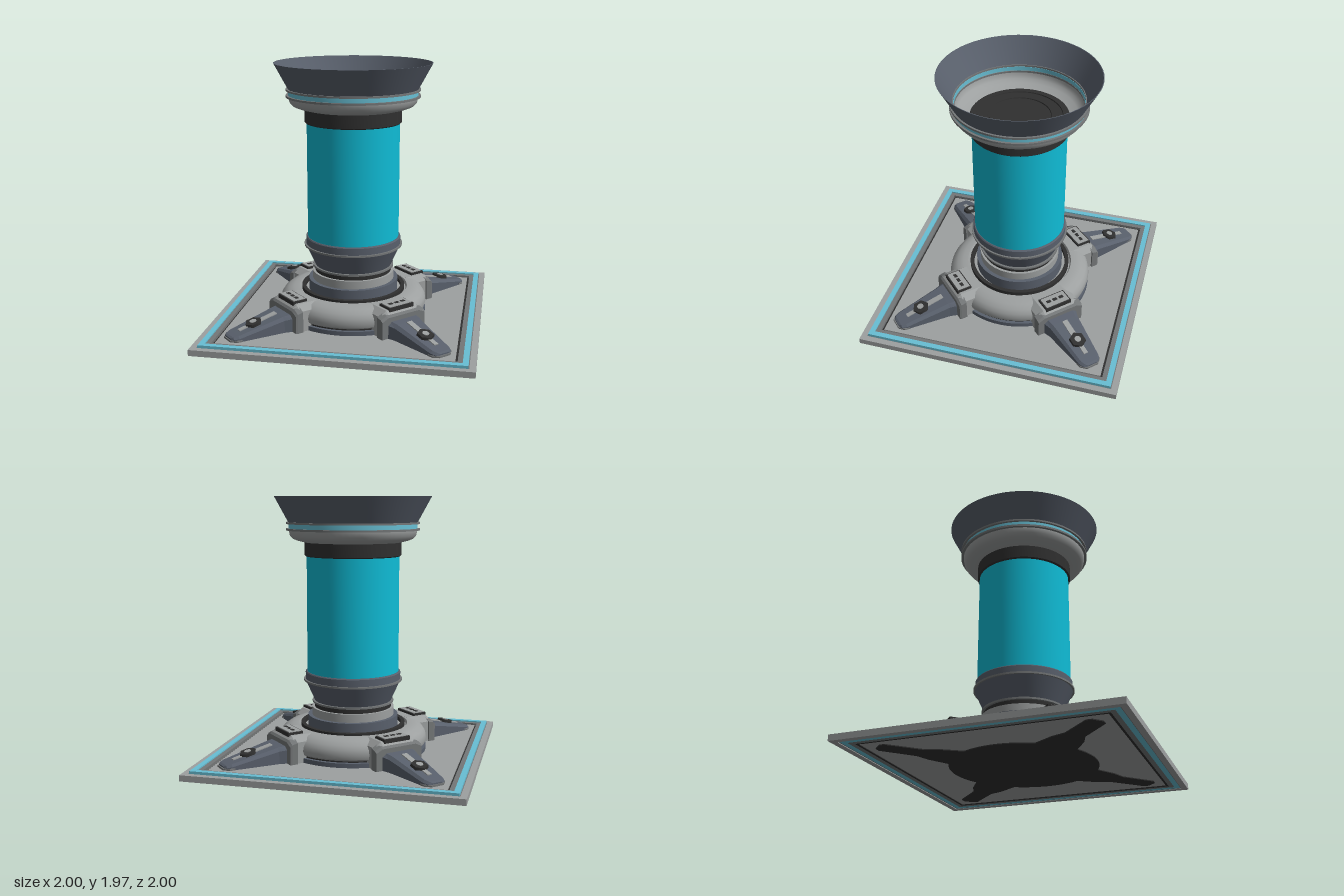
import * as THREE from 'three';
import { toCreasedNormals } from 'three/addons/utils/BufferGeometryUtils.js';

const mat = (name, color) => Object.assign(new THREE.MeshStandardMaterial({ color }), { name });

export function createModel() {
  const grey = mat('light grey', 0x9da0a0);
  const trim = mat('trim grey', 0x747778);
  const slate = mat('slate blue', 0x59606c);
  const dark = mat('charcoal', 0x303030);
  const cyan = mat('bright cyan', 0x10bcd6);
  const pale = mat('pale cyan', 0x68bfd4);

  const model = new THREE.Group();
  model.name = 'columnOnBase';
  const add = (parent, name, geo, material, x = 0, y = 0, z = 0) => {
    const m = new THREE.Mesh(geo, material);
    m.name = name;
    m.position.set(x, y, z);
    parent.add(m);
    return m;
  };

  // Turned part from [radius, height] points, listed bottom to top on the outside
  const turn = (name, pts, material) => add(model, name, toCreasedNormals(
    new THREE.LatheGeometry(pts.map(p => new THREE.Vector2(...p)), 64), 0.55), material);
  const drum = (name, r, y0, y1, material, r2 = r) =>
    turn(name, [[0, y0], [r, y0], [r2, y1], [0, y1]], material);
  const band = (name, r0, r1, y0, y1, material) =>
    turn(name, [[r0, y0], [r1, y0], [r1, y1], [r0, y1], [r0, y0]], material);

  // Square slab, optionally hollow
  const square = (path, s) => {
    path.moveTo(-s, -s); path.lineTo(s, -s); path.lineTo(s, s); path.lineTo(-s, s); path.closePath();
    return path;
  };
  const slab = (name, outer, inner, y0, y1, material) => {
    const shape = square(new THREE.Shape(), outer);
    if (inner) shape.holes.push(square(new THREE.Path(), inner));
    const geo = new THREE.ExtrudeGeometry(shape, { depth: y1 - y0, bevelEnabled: false });
    add(model, name, geo.rotateX(-Math.PI / 2), material, 0, y0, 0);
  };

  // Block along +z from sections [z, half base, half top, base y, shoulder y, top y]
  const loft = (sections) => {
    const rings = sections.map(([z, b, t, y0, ys, y1]) => [
      [-b, y0, z], [b, y0, z], [b, ys, z], [t, y1, z], [-t, y1, z], [-b, ys, z]]);
    const pos = [];
    const tri = (...p) => p.forEach(v => pos.push(...v));
    for (let i = 0; i < rings.length - 1; i++) {
      for (let j = 0; j < 6; j++) {
        const k = (j + 1) % 6, lo = rings[i], hi = rings[i + 1];
        tri(lo[j], lo[k], hi[k]);
        tri(lo[j], hi[k], hi[j]);
      }
    }
    const first = rings[0], last = rings[rings.length - 1];
    for (let j = 1; j < 5; j++) {
      tri(first[0], first[j + 1], first[j]);
      tri(last[0], last[j], last[j + 1]);
    }
    const geo = new THREE.BufferGeometry();
    geo.setAttribute('position', new THREE.Float32BufferAttribute(pos, 3));
    geo.computeVertexNormals();
    return geo;
  };

  // Square base with stepped borders
  slab('baseRim', 1, 0.955, 0, 0.045, grey);
  slab('baseRimGroove', 0.955, 0.948, 0.005, 0.04, trim);
  slab('baseLightStrip', 0.948, 0.908, 0.005, 0.062, pale);
  slab('baseInnerBorder', 0.908, 0.872, 0.005, 0.052, trim);
  slab('baseGroove', 0.872, 0.855, 0.005, 0.03, dark);
  slab('basePanel', 0.855, 0, 0.01, 0.042, grey);
  drum('undersideDisc', 0.54, 0.003, 0.01, dark);

  // Round hub
  drum('hubFoot', 0.565, 0.04, 0.075, slate);
  drum('hubShadowGap', 0.54, 0.075, 0.09, dark);
  turn('hubRing', [[0, 0.085], [0.54, 0.085], [0.56, 0.1], [0.568, 0.13], [0.56, 0.17], [0.54, 0.2],
    [0.505, 0.225], [0.46, 0.238], [0.42, 0.24], [0.41, 0.22], [0, 0.22]], grey);
  band('hubSeam', 0.37, 0.4, 0.2, 0.25, dark);

  // Column, bottom to top
  drum('lowerCollar', 0.345, 0.2, 0.31, slate);
  drum('greyNeck', 0.315, 0.31, 0.372, grey);
  drum('darkNeck', 0.295, 0.372, 0.41, dark);
  drum('lowerFlange', 0.312, 0.408, 0.422, trim);
  drum('flaredCup', 0.295, 0.422, 0.578, slate, 0.365);
  drum('upperFlange', 0.377, 0.576, 0.59, trim);
  turn('cupRim', [[0, 0.59], [0.364, 0.59], [0.364, 0.642], [0.357, 0.65], [0, 0.65]], slate);
  drum('glowingTube', 0.35, 0.65, 1.525, cyan);
  turn('topCollar', [[0, 1.525], [0.357, 1.525], [0.365, 1.532], [0.365, 1.635], [0.355, 1.643],
    [0.315, 1.643], [0.313, 1.635], [0.305, 1.635], [0.303, 1.643], [0.23, 1.643],
    [0.228, 1.635], [0.221, 1.635], [0.219, 1.643], [0, 1.643]], dark);

  // Bowl and open cone
  turn('bowl', [[0.36, 1.628], [0.42, 1.643], [0.455, 1.657], [0.475, 1.68], [0.482, 1.715],
    [0.482, 1.735], [0.468, 1.735], [0.464, 1.7], [0.45, 1.675], [0.42, 1.655], [0.36, 1.638]], grey);
  band('bowlFlange', 0.466, 0.502, 1.718, 1.733, trim);
  band('bowlLightStrip', 0.468, 0.485, 1.733, 1.766, pale);
  band('coneFlange', 0.47, 0.502, 1.766, 1.78, trim);
  turn('cone', [[0.486, 1.778], [0.59, 1.97], [0.584, 1.97], [0.476, 1.778], [0.486, 1.778]], slate);

  // Four diagonal feet
  for (let i = 0; i < 4; i++) {
    const foot = new THREE.Group();
    foot.name = 'foot' + (i + 1);
    foot.rotation.y = Math.PI / 4 + i * Math.PI / 2;
    model.add(foot);

    add(foot, 'footHousing', loft([
      [0.42, 0.185, 0.13, 0.04, 0.2, 0.24], [0.6, 0.185, 0.13, 0.04, 0.2, 0.24],
      [0.64, 0.185, 0.13, 0.04, 0.17, 0.205]]), grey);
    add(foot, 'footCollar', loft([
      [0.585, 0.198, 0.15, 0.04, 0.2, 0.225], [0.63, 0.198, 0.15, 0.04, 0.19, 0.215],
      [0.645, 0.195, 0.14, 0.04, 0.175, 0.2]]), trim);
    add(foot, 'housingPlate', new THREE.BoxGeometry(0.22, 0.03, 0.12), dark, 0, 0.242, 0.555);
    add(foot, 'housingCap', new THREE.BoxGeometry(0.2, 0.008, 0.1), grey, 0, 0.258, 0.555);
    for (const x of [-0.055, 0, 0.055])
      add(foot, 'capSlot', new THREE.BoxGeometry(0.036, 0.004, 0.025), dark, x, 0.263, 0.555);

    add(foot, 'toe', loft([
      [0.62, 0.15, 0.115, 0.04, 0.145, 0.17], [0.7, 0.125, 0.1, 0.04, 0.135, 0.158],
      [1.05, 0.088, 0.07, 0.04, 0.066, 0.083], [1.085, 0.072, 0.055, 0.04, 0.06, 0.075],
      [1.1, 0.045, 0.035, 0.04, 0.055, 0.066]]), slate);
    add(foot, 'toeEdge', loft([
      [1.03, 0.093, 0.09, 0.04, 0.052, 0.056], [1.07, 0.088, 0.085, 0.04, 0.052, 0.056],
      [1.108, 0.048, 0.045, 0.04, 0.052, 0.056]]), trim);
    add(foot, 'undersideToe', loft([
      [0.5, 0.16, 0.16, 0.003, 0.01, 0.01], [0.68, 0.12, 0.12, 0.003, 0.01, 0.01],
      [0.78, 0.075, 0.075, 0.003, 0.01, 0.01], [1.05, 0.07, 0.07, 0.003, 0.01, 0.01],
      [1.08, 0.04, 0.04, 0.003, 0.01, 0.01]]), dark);

    // Details lying on the sloping toe
    const slope = new THREE.Group();
    slope.name = 'toeDetails';
    slope.position.set(0, 0.1215, 0.87);
    slope.rotation.x = Math.atan2(0.075, 0.35);
    foot.add(slope);
    add(slope, 'toeStrip', new THREE.BoxGeometry(0.045, 0.009, 0.14), grey, 0, 0.003, -0.1);
    add(slope, 'toeTipStrip', new THREE.BoxGeometry(0.035, 0.009, 0.07), grey, 0, 0.003, 0.11);
    add(slope, 'toeClamp', new THREE.CylinderGeometry(0.062, 0.066, 0.024, 6), dark, 0, 0.008, 0.02);
    add(slope, 'toeBolt', new THREE.CylinderGeometry(0.025, 0.025, 0.03, 16), grey, 0, 0.01, 0.02);
  }
  return model;
}
